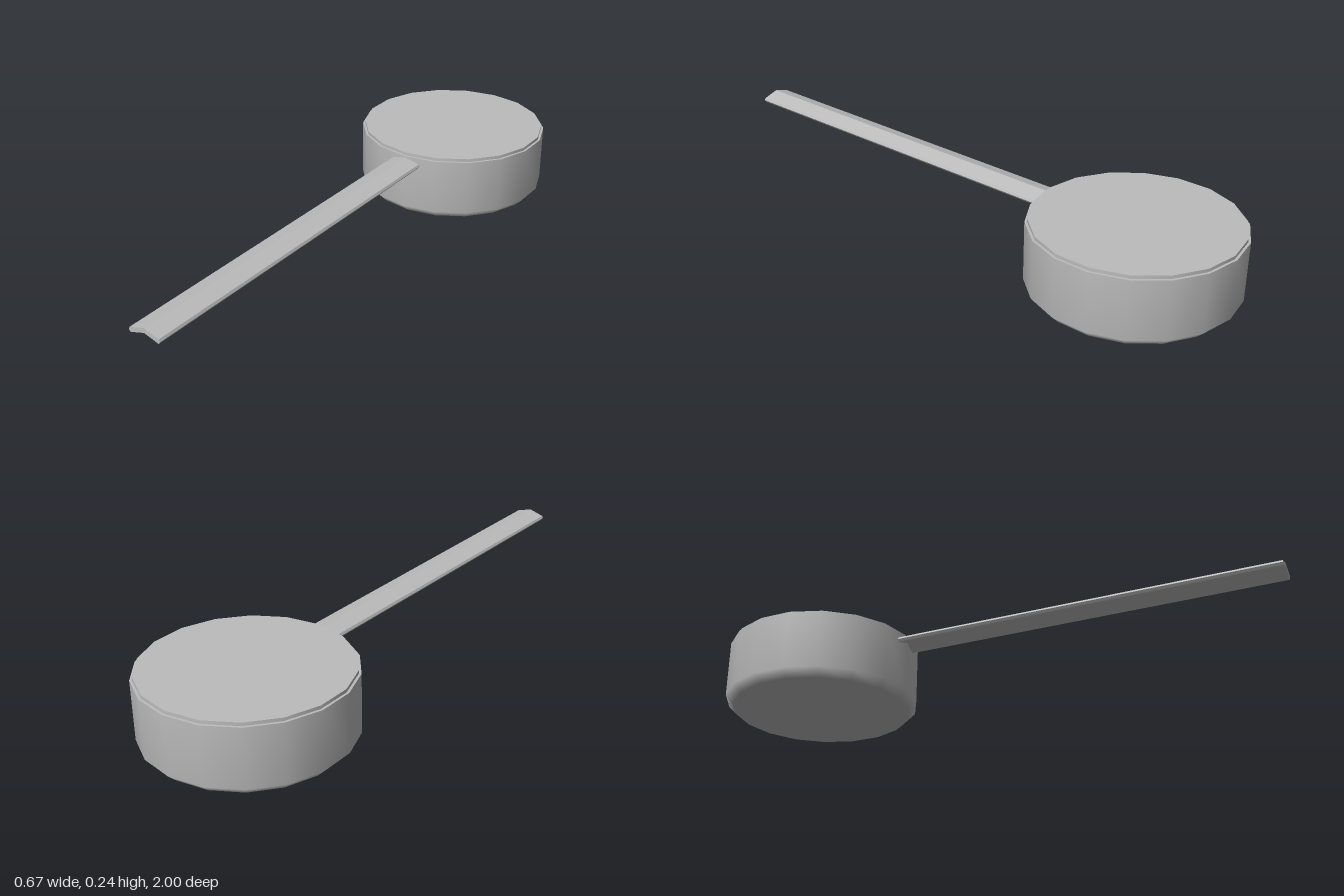
import * as THREE from 'three';

export function createModel() {
  const group = new THREE.Group();
  const metal = new THREE.MeshStandardMaterial({ color: 0xbcbcbc });
  metal.name = 'grey metal';

  const sides = 18, radius = 0.338, centreZ = -1 + radius;
  const add = (name, geometry, x, y, z) => {
    const mesh = new THREE.Mesh(geometry, metal);
    mesh.name = name;
    mesh.position.set(x, y, z);
    group.add(mesh);
  };
  const lathe = (pairs) =>
    new THREE.LatheGeometry(pairs.map(([r, y]) => new THREE.Vector2(r, y)), sides);

  // Bowl with a bevelled foot, smooth from base to wall
  add('bowl', lathe([[0, 0], [0.31, 0], [radius, 0.028], [radius, 0.226]]), 0, 0, centreZ);

  // Flat rim between the wall and the lid
  add('rim', lathe([[radius, 0.226], [0.325, 0.226]]), 0, 0, centreZ);

  // Slightly narrower flat lid
  add('lid', new THREE.CylinderGeometry(0.33, 0.33, 0.022, sides), 0, 0.226, centreZ);

  // Long chevron-section handle
  const half = [[0.052, 0.189], [0.058, 0.197], [0.054, 0.205]];
  const section = new THREE.Shape([
    [0, 0.205], ...half, [0, 0.221],
    ...half.slice().reverse().map(([x, y]) => [-x, y]),
  ].map(([x, y]) => new THREE.Vector2(x, y)));
  const startZ = -0.33;
  add('handle', new THREE.ExtrudeGeometry(section, { depth: 1 - startZ, bevelEnabled: false }), 0, 0, startZ);

  return group;
}
